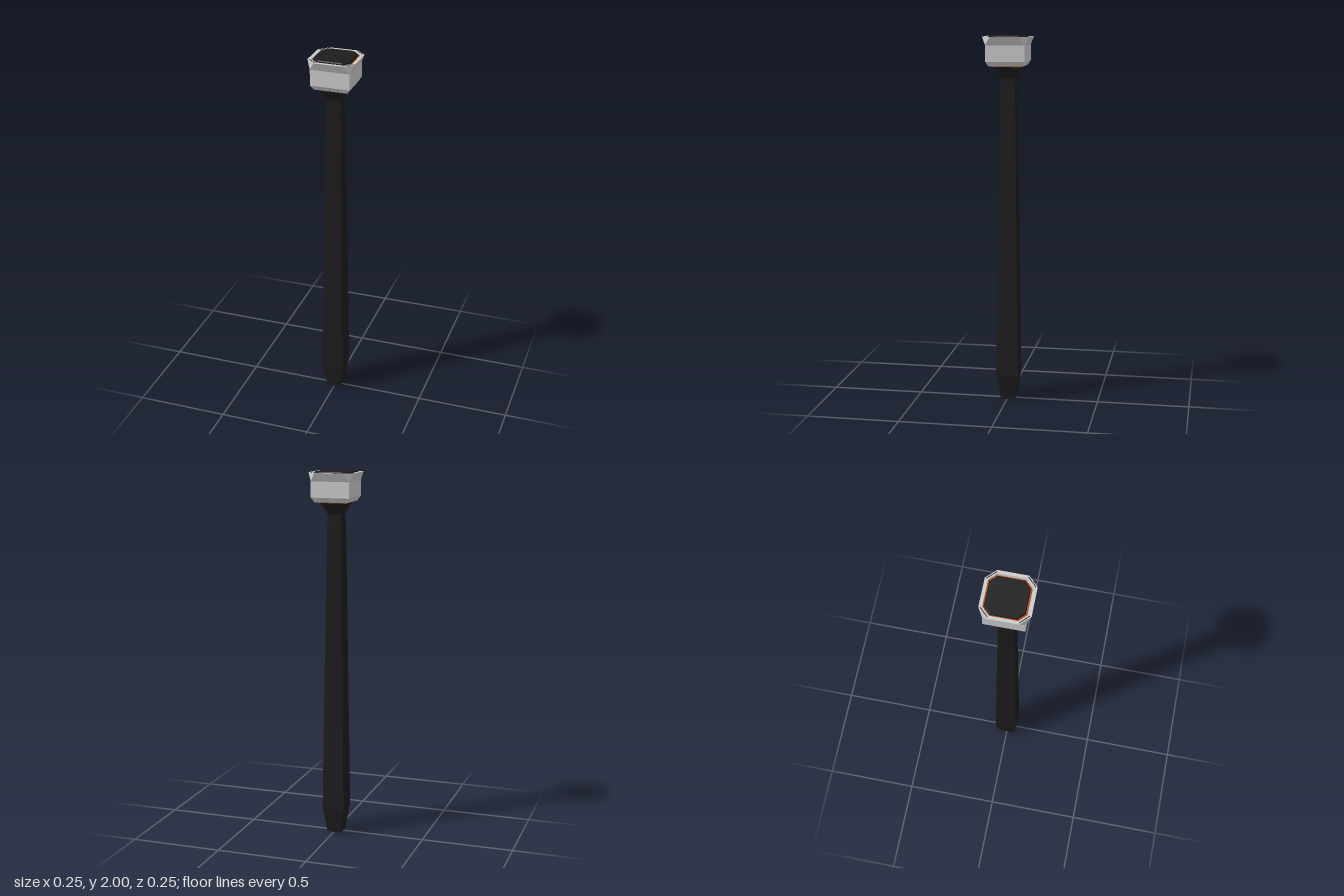
import * as THREE from 'three';

const material = (color) => new THREE.MeshStandardMaterial({ color, flatShading: true });

// Square ring with chamfered corners; a cut of 0 gives a plain square.
function ring([y, half, cut = 0]) {
  const h = half, k = half - cut;
  return [[h, -k], [h, k], [k, h], [-k, h], [-h, k], [-h, -k], [-k, -h], [k, -h]]
    .map(([x, z]) => new THREE.Vector3(x, y, z));
}

// Closed faceted solid through a stack of [y, half width, corner cut] sections.
function loft(sections) {
  const rings = sections.map(ring);
  const pos = [];
  const tri = (a, b, c) => {
    if (a.distanceTo(b) < 1e-6 || b.distanceTo(c) < 1e-6 || a.distanceTo(c) < 1e-6) return;
    for (const p of [a, b, c]) pos.push(p.x, p.y, p.z);
  };
  const bottom = rings[0], top = rings[rings.length - 1];
  const bottomCentre = new THREE.Vector3(0, bottom[0].y, 0);
  const topCentre = new THREE.Vector3(0, top[0].y, 0);
  for (let i = 0; i < 8; i++) {
    const j = (i + 1) % 8;
    for (let r = 0; r < rings.length - 1; r++) {
      const lo = rings[r], hi = rings[r + 1];
      tri(lo[i], hi[i], lo[j]);
      tri(lo[j], hi[i], hi[j]);
    }
    tri(bottomCentre, bottom[i], bottom[j]);
    tri(topCentre, top[j], top[i]);
  }
  const geometry = new THREE.BufferGeometry();
  geometry.setAttribute('position', new THREE.Float32BufferAttribute(pos, 3));
  geometry.computeVertexNormals();
  return geometry;
}

export function createModel() {
  const model = new THREE.Group();
  model.name = 'hammer';
  const grey = material(0xcccccc);
  const dark = material(0x1c1c1c);
  const orange = material(0xb84510);

  const add = (name, geometry, mat, offset = 0) => {
    const mesh = new THREE.Mesh(geometry, mat);
    mesh.name = name;
    mesh.position.set(offset, 0, offset);
    model.add(mesh);
    return mesh;
  };
  const shift = -0.003; // the shaft and inlays sit slightly off the head's axis

  // Tapered square shaft with a pointed foot
  add('shaft', loft([[0, 0.039], [0.14, 0.061], [1.73, 0.04]]), dark, shift);

  // Collar flaring out under the head
  add('collar', loft([[1.73, 0.037], [1.775, 0.038], [1.842, 0.07]]), dark, shift);

  // Thin coloured plate between collar and head
  add('basePlate', loft([[1.836, 0.077], [1.845, 0.08]]), orange, shift);

  // Square head opening into an eight-sided rim with a shallow recess
  add('head', loft([
    [1.84, 0.09], [1.865, 0.105], [1.95, 0.105],
    [1.995, 0.127, 0.05], [1.995, 0.11, 0.04], [1.965, 0.107, 0.037],
  ]), grey);

  // Coloured ring lining the recess
  add('trimRing', loft([
    [1.965, 0.107, 0.037], [1.988, 0.107, 0.037],
    [1.988, 0.1, 0.034], [1.966, 0.1, 0.034],
  ]), orange, shift);

  // Dark striking pad filling the recess
  add('topPad', loft([[1.96, 0.1, 0.034], [1.995, 0.1, 0.034], [2, 0.096, 0.033]]), dark, shift);

  // Narrow slots across the four rim corners
  for (const sx of [-1, 1]) {
    for (const sz of [-1, 1]) {
      const slot = add('rimSlot', new THREE.BoxGeometry(0.062, 0.004, 0.004), dark);
      slot.position.set(sx * 0.097, 1.9937, sz * 0.097);
      slot.rotation.y = sx * sz * Math.PI / 4;
    }
  }

  return model;
}
